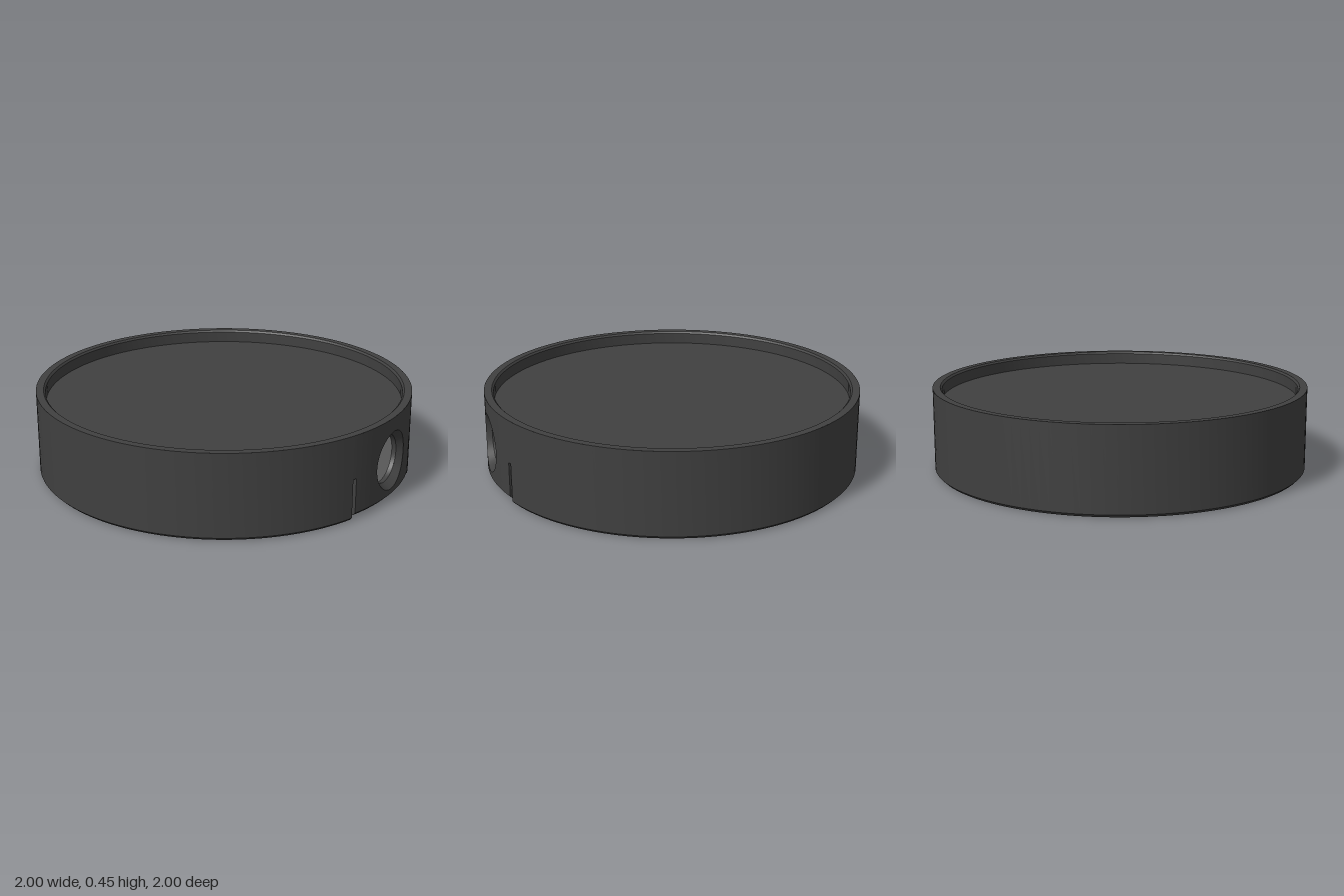
import * as THREE from 'three';
import { toCreasedNormals } from 'three/addons/utils/BufferGeometryUtils.js';
import { ParametricGeometry } from 'three/addons/geometries/ParametricGeometry.js';

export function createModel() {
  const model = new THREE.Group();
  const dark = new THREE.MeshStandardMaterial({ color: 0x404040, side: THREE.DoubleSide });
  const light = new THREE.MeshStandardMaterial({ color: 0x999999, side: THREE.DoubleSide });

  const add = (name, geometry, material = dark) => {
    const mesh = new THREE.Mesh(toCreasedNormals(geometry, 0.45), material);
    mesh.name = name;
    model.add(mesh);
    return mesh;
  };
  const toPoints = (profile) => profile.map(([r, y]) => new THREE.Vector2(r, y));

  // Sweep a profile around y; angles are measured from +x
  const sweep = (name, profile, from, to) =>
    add(name, new THREE.LatheGeometry(toPoints(profile), Math.max(3, Math.round((to - from) * 20)),
      Math.PI / 2 + from, to - from));
  // Flat radial wall with the shape of a profile
  const endWall = (name, profile, angle) => {
    add(name, new THREE.ShapeGeometry(new THREE.Shape(toPoints(profile)))).rotation.y = angle;
  };

  const FULL = Math.PI * 2;
  const H = 0.45, CORE = 0.93;
  const tabZ = 0.31, tabAngle = Math.asin(tabZ), gapAngle = Math.asin(0.33);
  const floorY = 0.075, deckY = 0.38, slitTop = 0.22;

  // Core: recessed top deck and underside floor
  const core = new THREE.CylinderGeometry(0.952, 0.952, 0.02, 128);
  add('topDeck', core).position.y = deckY - 0.01;
  const body = new THREE.CylinderGeometry(CORE, CORE, deckY - 0.01 - floorY, 128);
  add('core', body).position.y = (deckY - 0.01 + floorY) / 2;

  // Raised rim around the top
  sweep('topRim', [[1, H], [0.96, H], [0.95, H - 0.01], [0.95, deckY - 0.01]], 0, FULL);

  // Outer wall and foot ring, open at the tab
  const wall = [[0.84, floorY], [0.84, 0.015], [0.855, 0], [0.985, 0], [1, 0.015], [1, H]];
  sweep('outerWall', wall, gapAngle, FULL - gapAngle);
  const wallEnd = [...wall.slice(0, 5), [1, slitTop], [CORE, slitTop], [CORE, floorY]];
  const tabEnd = [[CORE, slitTop], [CORE, 0.02], [0.985, 0.02], [1, 0.035], [1, slitTop]];

  // Slits on both sides of the tab
  for (const s of [-1, 1]) {
    endWall('footRingEnd', wallEnd, s * gapAngle);
    endWall('tabSide', tabEnd, s * tabAngle);
    const [a, b] = s > 0 ? [tabAngle, gapAngle] : [-gapAngle, -tabAngle];
    sweep('slitBridge', [[CORE, slitTop], [1, slitTop], [1, H]], a, b);
  }
  sweep('tabUnderside', [[CORE, 0.1], [CORE, 0.02], [0.985, 0.02], [1, 0.035]], -tabAngle, tabAngle);

  // Tab face: curved panel between a rectangle and a round hole
  const holeY = 0.217, holeR = 0.155, boreR = 0.127, boreX = 0.96, discX = 0.937;
  const low = 0.035;
  const corners = [[-tabZ, low], [tabZ, low], [tabZ, H], [-tabZ, H], [-tabZ, low]];
  const edge = (u) => {
    const side = Math.min(3, Math.floor(u * 4 + 1e-9)), t = u * 4 - side;
    const [p, q] = [corners[side], corners[side + 1]];
    return [p[0] + (q[0] - p[0]) * t, p[1] + (q[1] - p[1]) * t];
  };
  const lerp = THREE.MathUtils.lerp;
  add('tabFace', new ParametricGeometry((u, v, out) => {
    const [ez, ey] = edge(u);
    const a = Math.atan2(ey - holeY, ez);
    const z = lerp(holeR * Math.cos(a), ez, v), y = lerp(holeY + holeR * Math.sin(a), ey, v);
    out.set(Math.sqrt(1 - z * z), y, z);
  }, 96, 8));

  // Countersink, bore and the disc set inside
  add('countersink', new ParametricGeometry((u, v, out) => {
    const c = Math.cos(u * FULL), s = Math.sin(u * FULL), r = lerp(holeR, boreR, v);
    out.set(lerp(Math.sqrt(1 - (holeR * c) ** 2), boreX, v), holeY + r * s, r * c);
  }, 96, 1));
  const bore = add('bore', new THREE.CylinderGeometry(boreR, boreR, boreX - CORE, 64, 1, true));
  bore.rotation.z = Math.PI / 2;
  bore.position.set((boreX + CORE) / 2, holeY, 0);
  const disc = add('holeDisc', new THREE.CircleGeometry(boreR, 64), light);
  disc.rotation.y = Math.PI / 2;
  disc.position.set(discX, holeY, 0);

  return model;
}
